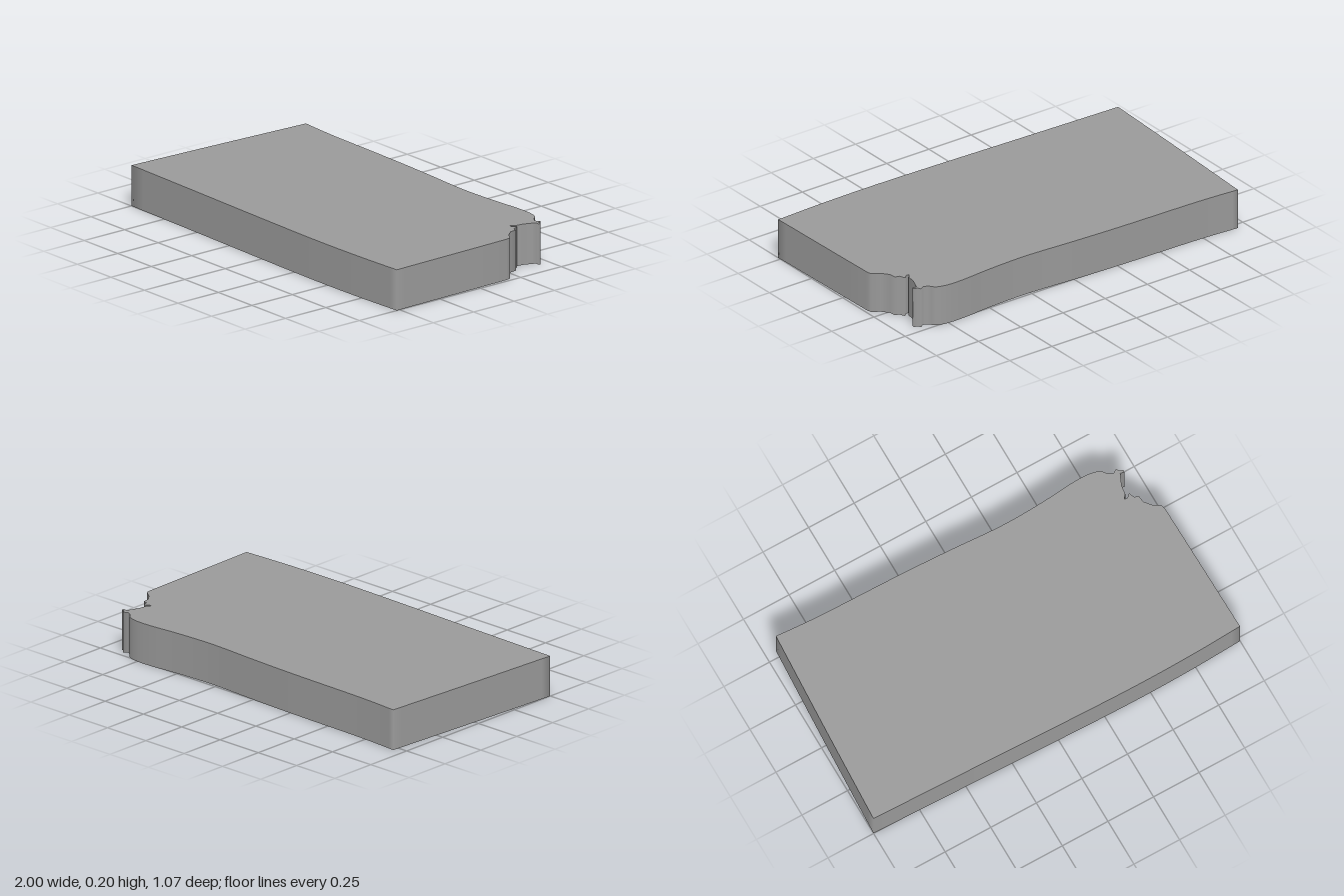
import * as THREE from 'three';

const HEIGHT = 0.205;

// Plan outline as [x, z] points, corner to corner
const backEdge = [[-0.945, -0.535], [-0.71, -0.521], [-0.29, -0.513], [0, -0.502], [0.27, -0.488],
  [0.49, -0.495], [0.65, -0.509], [0.75, -0.51], [0.81, -0.495], [0.835, -0.468], [0.86, -0.454]];
const raggedCorner = [[0.86, -0.454], [0.883, -0.468], [0.89, -0.452], [0.91, -0.446], [0.908, -0.434],
  [0.888, -0.438], [0.88, -0.42], [0.863, -0.38], [0.857, -0.335], [0.84, -0.315], [0.855, -0.312],
  [0.875, -0.33], [0.887, -0.3], [0.908, -0.295], [0.912, -0.26], [0.94, -0.225], [0.98, -0.198]];
const rightEdge = [[0.98, -0.198], [0.985, -0.175], [0.989, 0], [0.994, 0.25], [0.998, 0.46], [1, 0.518]];
const frontEdge = [[1, 0.518], [0.73, 0.53], [0.41, 0.534], [0, 0.526], [-0.5, 0.512], [-1, 0.499]];
const leftEdge = [[-1, 0.499], [-0.975, 0], [-0.945, -0.535]];

const toVectors = (points) => points.map(([x, z]) => new THREE.Vector2(x, z));
const smooth = (points, steps) => new THREE.SplineCurve(toVectors(points)).getPoints(steps);

// Flat face of the slab: side 1 faces up, side -1 faces down
function capGeometry(outline, side) {
  const shape = new THREE.Shape(outline.map((p) => new THREE.Vector2(p.x, -side * p.y)));
  return new THREE.ShapeGeometry(shape).rotateX(-side * Math.PI / 2);
}

// Upright wall around the outline, with normals blended across every corner
function wallGeometry(outline) {
  const count = outline.length;
  const positions = [];
  const normals = [];
  const indices = [];
  outline.forEach((point, i) => {
    const before = outline[(i + count - 1) % count];
    const after = outline[(i + 1) % count];
    const along = point.clone().sub(before).normalize()
      .add(after.clone().sub(point).normalize()).normalize();
    for (const y of [0, HEIGHT]) {
      positions.push(point.x, y, point.y);
      normals.push(along.y, 0, -along.x);
    }
    const a = 2 * i;
    const b = 2 * ((i + 1) % count);
    indices.push(a, a + 1, b, b, a + 1, b + 1);
  });
  const geometry = new THREE.BufferGeometry();
  geometry.setAttribute('position', new THREE.Float32BufferAttribute(positions, 3));
  geometry.setAttribute('normal', new THREE.Float32BufferAttribute(normals, 3));
  geometry.setIndex(indices);
  return geometry;
}

export function createModel() {
  const group = new THREE.Group();
  group.name = 'slab';
  const material = new THREE.MeshStandardMaterial({ color: 0x999999 });

  // Join the edges, dropping each shared end point
  const edges = [smooth(backEdge, 50), toVectors(raggedCorner), toVectors(rightEdge),
    smooth(frontEdge, 20), smooth(leftEdge, 12)];
  const outline = edges.flatMap((edge) => edge.slice(0, -1));

  const addPart = (name, geometry) => {
    const mesh = new THREE.Mesh(geometry, material);
    mesh.name = name;
    group.add(mesh);
    return mesh;
  };
  addPart('topFace', capGeometry(outline, 1)).position.y = HEIGHT;
  addPart('bottomFace', capGeometry(outline, -1));
  addPart('sideWall', wallGeometry(outline));
  return group;
}
